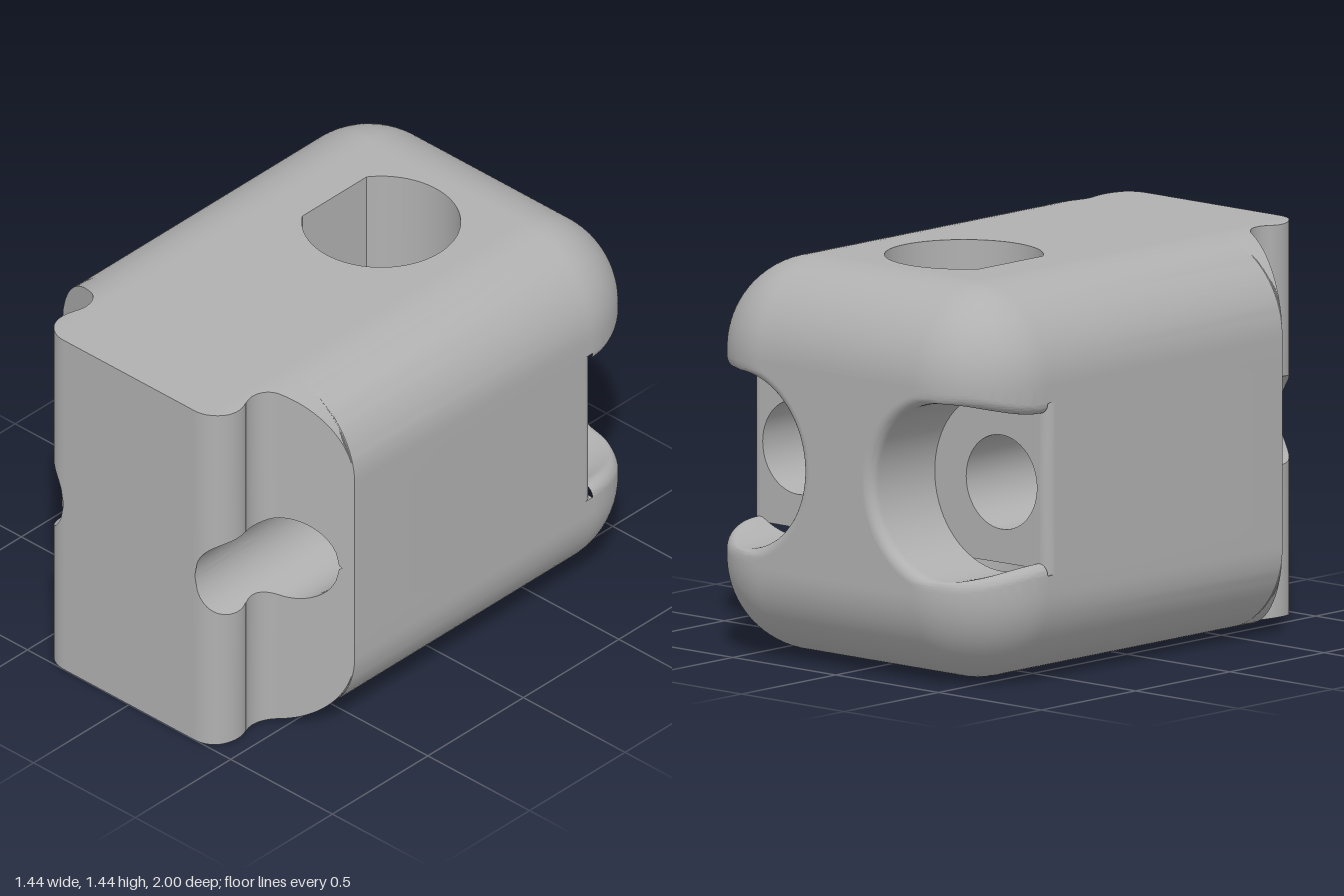
import * as THREE from 'three';
import { toCreasedNormals } from 'three/addons/utils/BufferGeometryUtils.js';

// Block: half width, edge radius and start of that radius (y is centred on 0 here)
const HALF = 0.72, EDGE = 0.34, FLAT = HALF - EDGE;
// Bores along z, with counterbores opening to the back and the sides
const BORE_X = 0.495, BORE_R = 0.172, POCKET_R = 0.325, LIP = 0.04, FLOOR_Z = -0.66;
// D-shaped vertical hole
const D_Z = -0.32, D_R = 0.285, D_FLAT = -0.23;
const RAD = Math.PI / 180;

const clamp = THREE.MathUtils.clamp;
const vec = (x, y, z) => new THREE.Vector3(x, y, z);
const steps = (n, from, to, fn) =>
  Array.from({ length: n + 1 }, (_, i) => fn(from + (to - from) * i / n));

// Triangles between rows of equal length, for each pair of mirror signs
function loft(rowSets, mirrors = [[1, 1], [-1, 1], [1, -1], [-1, -1]]) {
  const out = [];
  for (const rows of rowSets) for (const [sx, sy] of mirrors) {
    const tri = (a, b, c) => {
      for (const p of sx * sy > 0 ? [a, b, c] : [a, c, b]) out.push(p.x * sx, p.y * sy, p.z);
    };
    for (let i = 0; i + 1 < rows.length; i++) {
      for (let j = 0; j + 1 < rows[i].length; j++) {
        const a = rows[i][j], b = rows[i][j + 1], c = rows[i + 1][j], d = rows[i + 1][j + 1];
        tri(a, c, b);
        tri(b, c, d);
      }
    }
  }
  const geo = new THREE.BufferGeometry();
  geo.setAttribute('position', new THREE.Float32BufferAttribute(out, 3));
  return toCreasedNormals(geo, 0.5);
}

// Quarter outline of the rounded back, with the counterbore biting into its side
function backRow(z) {
  const c = Math.sqrt(Math.max(0, EDGE ** 2 - (FLOOR_Z - z) ** 2)), a = FLAT + c;
  const u = clamp((-1 + LIP - z) / LIP, 0, 1);
  const r = POCKET_R + LIP * (1 - Math.sqrt(1 - u * u));
  const fx = a - LIP, dx = fx - BORE_X, fy = Math.sqrt((r + LIP) ** 2 - dx * dx);
  return [
    vec(0, a, z),
    ...steps(20, Math.PI / 2, 0, t => vec(FLAT + c * Math.cos(t), FLAT + c * Math.sin(t), z)),
    ...steps(12, 0, Math.atan2(-fy, -dx), t => vec(fx + LIP * Math.cos(t), fy + LIP * Math.sin(t), z)),
    ...steps(24, Math.atan2(fy, dx), Math.PI, t => vec(BORE_X + r * Math.cos(t), r * Math.sin(t), z)),
  ];
}

// Neck half width w against z: slope, concave groove, rounded bead
const neck = [
  ...steps(24, 0, 1, t => ({ z: 0.585 + 0.119 * t, w: HALF - 0.255 * t })),
  ...steps(14, -64, 28.8, d => ({ z: 0.79 + 0.095 * Math.sin(d * RAD), w: 0.505 - 0.095 * Math.cos(d * RAD) })),
  ...steps(18, -28, 90, d => ({ z: 0.89 + 0.11 * Math.sin(d * RAD), w: 0.323 + 0.11 * Math.cos(d * RAD) })),
];

// Half height of the bore where it is cut by the plane x = w
const boreHalf = w => Math.sqrt(Math.max(0, BORE_R ** 2 - (w - BORE_X) ** 2));

// Quarter outline of the body, cut off at half width w; edge is the x of the pocket floor rim
function bodyRow({ z, w, edge = w }) {
  const end = Math.acos(clamp((w - FLAT) / EDGE, 0, 1));
  const rim = 0.315;
  return [
    ...steps(20, Math.PI / 2, end, t => vec(Math.min(w, FLAT + EDGE * Math.cos(t)), FLAT + EDGE * Math.sin(t), z)),
    vec(w, rim, z), vec(edge, rim, z), vec(edge, boreHalf(w), z),
  ];
}

// Upper half of a bore, open where it breaks out of the neck
function boreRow({ z, w }) {
  const start = Math.acos(clamp((w - BORE_X) / BORE_R, -1, 1));
  return steps(28, start, Math.PI, t => vec(BORE_X + BORE_R * Math.cos(t), BORE_R * Math.sin(t), z));
}

// Closed D outline as [x, z]
const dEnd = Math.acos(D_FLAT / D_R);
const dPath = steps(56, -dEnd, dEnd, t => [D_R * Math.cos(t), D_Z + D_R * Math.sin(t)]);

const flat = (points, hole) => {
  const shape = new THREE.Shape(points.map(([x, y]) => new THREE.Vector2(x, y)));
  if (hole) shape.holes.push(new THREE.Path(hole.map(([x, y]) => new THREE.Vector2(x, y))));
  return new THREE.ShapeGeometry(shape);
};

export function createModel() {
  const group = new THREE.Group();
  group.name = 'mountingBlock';
  const grey = new THREE.MeshStandardMaterial({ color: 0xb0b0b0 });
  grey.name = 'plain grey';
  const add = (name, geo) => {
    const mesh = new THREE.Mesh(geo, grey);
    mesh.name = name;
    mesh.position.y = HALF;
    group.add(mesh);
  };

  // Rounded back, pocket walls, sides and neck
  const backRows = steps(32, 90, 0, d => backRow(FLOOR_Z - EDGE * Math.sin(d * RAD)));
  const rimRows = steps(8, 0, 90, d => ({
    z: FLOOR_Z + LIP * (1 - Math.cos(d * RAD)), w: HALF, edge: HALF - LIP + LIP * Math.sin(d * RAD),
  }));
  add('body', loft([backRows, [...rimRows, ...neck].map(bodyRow)]));

  // Through bores
  add('bores', loft([[{ z: FLOOR_Z, w: HALF }, ...neck].map(boreRow)]));

  // Flat top and bottom with the D hole
  for (const s of [1, -1]) {
    const right = [[FLAT, FLOOR_Z], ...neck.map(p => [Math.min(p.w, FLAT), p.z])]
      .filter((p, i, all) => i === 0 || p[0] !== all[i - 1][0] || p[1] !== all[i - 1][1]);
    const left = right.map(([x, z]) => [-x, z]).reverse();
    const turn = ([x, z]) => [x, -s * z];
    const geo = flat([...right, ...left].map(turn), dPath.map(turn));
    add(s > 0 ? 'topFace' : 'bottomFace', geo.rotateX(-s * Math.PI / 2).translate(0, s * HALF, 0));
  }

  // Wall of the D hole
  const ring = [...dPath, dPath[0]];
  add('keyedHole', loft([[HALF, -HALF].map(y => ring.map(([x, z]) => vec(x, y, z)))], [[1, 1]]));

  // End faces
  add('frontFace', new THREE.PlaneGeometry(0.646, 2 * HALF).translate(0, 0, 1));
  const q = backRow(-1).map(p => [p.x, p.y])
    .filter((p, i, all) => i === 0 || Math.hypot(p[0] - all[i - 1][0], p[1] - all[i - 1][1]) > 1e-5);
  const half = [...q, ...q.map(([x, y]) => [x, -y]).reverse().slice(1)];
  const loop = [...half, ...half.map(([x, y]) => [-x, y]).reverse().slice(1, -1)];
  add('backFace', flat(loop).rotateY(Math.PI).translate(0, 0, -1));

  // Pocket floors around the bores
  const arc = backRow(FLOOR_Z).slice(22).filter(p => p.x <= HALF - LIP + 1e-6 && p.y < 0.3).map(p => [p.x, p.y]);
  for (const s of [1, -1]) {
    const outline = [...arc, ...arc.map(([x, y]) => [x, -y]).reverse().slice(1)];
    outline.unshift([HALF - LIP, 0.275]);
    outline.push([HALF - LIP, -0.275]);
    const hole = steps(55, 0, 2 * Math.PI * 55 / 56, t => [BORE_X + BORE_R * Math.cos(t), BORE_R * Math.sin(t)]);
    const side = ([x, y]) => [-s * x, y];
    const geo = flat(outline.map(side), hole.map(side));
    add(s > 0 ? 'leftPocketFloor' : 'rightPocketFloor', geo.rotateY(Math.PI).translate(0, 0, FLOOR_Z));
  }
  return group;
}
